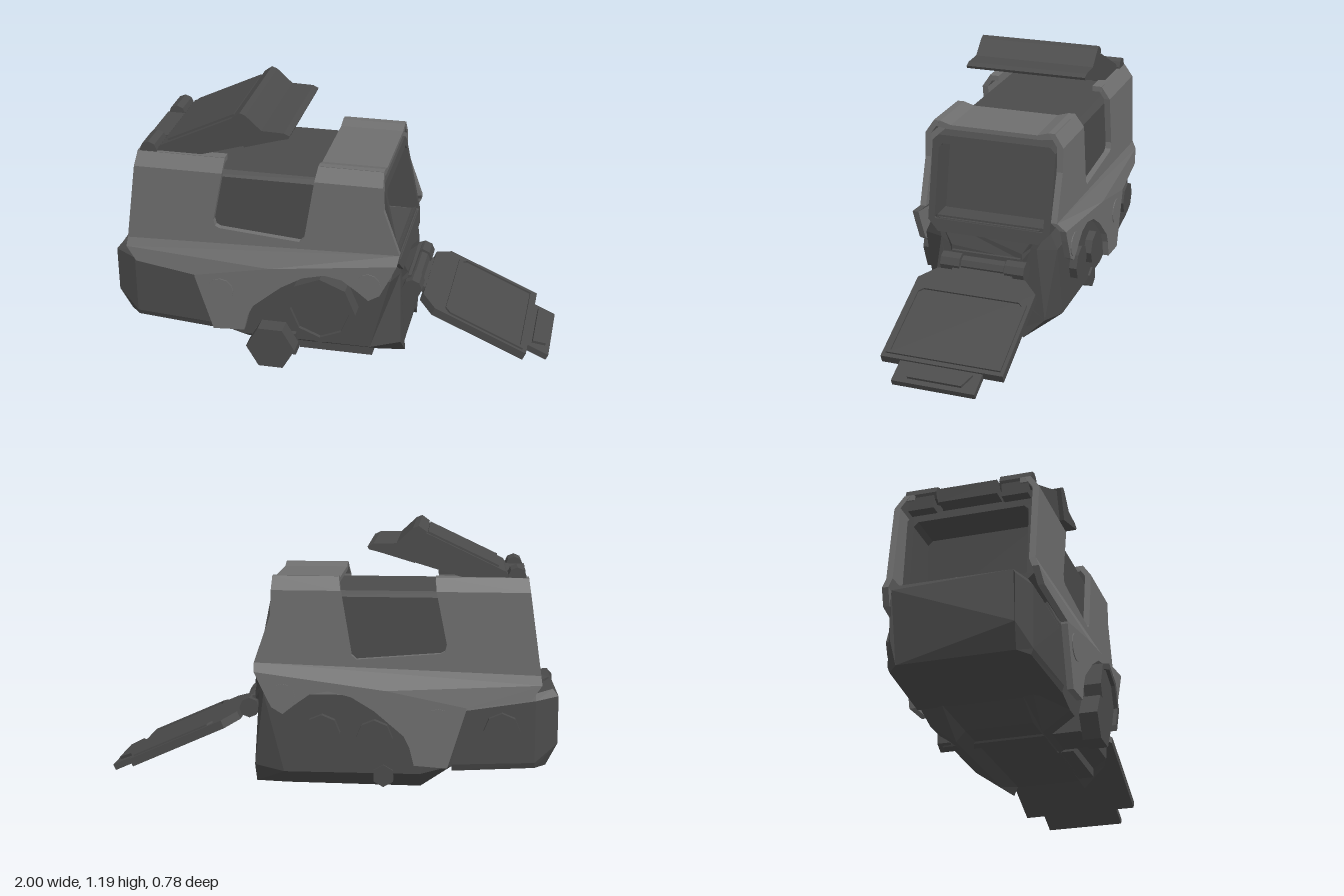
import * as THREE from 'three';

const mat = (name, color) => {
  const m = new THREE.MeshStandardMaterial({ color });
  m.name = name;
  return m;
};

export function createModel() {
  const body = mat('dark grey', 0x4b4b4b);
  const hoodMat = mat('mid grey', 0x6e6e6e);
  const root = new THREE.Group();
  root.name = 'opticSight';
  const model = new THREE.Group();
  model.name = 'sightAssembly';
  model.position.z = -0.025; // symmetry plane of the housing
  root.add(model);

  const flat = (g) => {
    const f = g.index ? g.toNonIndexed() : g;
    f.computeVertexNormals();
    return f;
  };
  const add = (name, geo, material = body, parent = model) => {
    const m = new THREE.Mesh(flat(geo), material);
    m.name = name;
    parent.add(m);
    return m;
  };
  const fromTris = (pos) => {
    const g = new THREE.BufferGeometry();
    g.setAttribute('position', new THREE.Float32BufferAttribute(pos.flat(), 3));
    return g;
  };
  const v2 = (pts) => pts.map(([x, y]) => new THREE.Vector2(x, y));
  const shape = (pts, hole) => {
    const s = new THREE.Shape(v2(pts));
    if (hole) s.holes.push(new THREE.Path(v2(hole)));
    return s;
  };
  const extrude = (s, depth) => new THREE.ExtrudeGeometry(s, { depth, bevelEnabled: false });
  const box = (x0, x1, y0, y1, z0, z1) =>
    new THREE.BoxGeometry(x1 - x0, y1 - y0, z1 - z0).translate((x0 + x1) / 2, (y0 + y1) / 2, (z0 + z1) / 2);
  // Cylinder along z
  const rod = (x, y, z0, z1, r, n = 8, start = 0) =>
    new THREE.CylinderGeometry(r, r, z1 - z0, n, 1, false, start).rotateX(Math.PI / 2).translate(x, y, (z0 + z1) / 2);
  const side = (s, z0, z1) => (s > 0 ? [z0, z1] : [-z1, -z0]);

  // Sheet metal from an outline of [x, y, distance from centre], on side s
  function panel(pts, s, t = 0.028) {
    if (THREE.ShapeUtils.isClockWise(v2(pts))) pts = [...pts].reverse();
    const out = [];
    const f = pts.map(([x, y, h]) => [x, y, s * h]);
    const b = pts.map(([x, y, h]) => [x, y, s * (h - t)]);
    const tri = (p, q, r) => out.push(...(s > 0 ? [p, q, r] : [p, r, q]));
    for (let [i, j, k] of THREE.ShapeUtils.triangulateShape(v2(pts), [])) {
      const [p, q, r] = [pts[i], pts[j], pts[k]];
      if ((q[0] - p[0]) * (r[1] - p[1]) - (q[1] - p[1]) * (r[0] - p[0]) < 0) [j, k] = [k, j];
      tri(f[i], f[j], f[k]);
      tri(b[i], b[k], b[j]);
    }
    f.forEach((p, i) => {
      const n = (i + 1) % f.length;
      tri(p, b[i], b[n]);
      tri(p, b[n], f[n]);
    });
    return fromTris(out);
  }

  // Loft of mirrored half sections, each a list of [x, y, z] from bottom to top
  function loft(halves) {
    const secs = halves.map((h) => [...h, ...[...h].reverse().map(([x, y, z]) => [x, y, -z])]);
    const out = [];
    const n = secs[0].length;
    for (let i = 0; i < secs.length - 1; i++)
      for (let j = 0; j < n; j++) {
        const k = (j + 1) % n, A = secs[i], B = secs[i + 1];
        out.push(A[j], B[j], B[k], A[j], B[k], A[k]);
      }
    [[secs[0], -1], [secs[secs.length - 1], 1]].forEach(([S, dir]) => {
      const flatPts = S.map(([, y, z]) => [y, z]); // y cross z points to +x
      for (const [a, b, c] of THREE.ShapeUtils.triangulateShape(v2(flatPts), [])) {
        const [p, q, r] = [S[a], S[b], S[c]];
        const area = (q[1] - p[1]) * (r[2] - p[2]) - (q[2] - p[2]) * (r[1] - p[1]);
        out.push(...(area * dir > 0 ? [p, q, r] : [p, r, q]));
      }
    });
    return fromTris(out);
  }

  // Lower body with a mounting channel underneath
  add('lowerBody', loft([
    [[-0.56, 0.13, 0.15], [-0.56, 0.125, 0.2], [-0.54, 0.14, 0.31], [-0.6, 0.43, 0.31], [-0.6, 0.52, 0.27]],
    [[-0.4, 0.06, 0.15], [-0.4, 0.015, 0.19], [-0.4, 0.1, 0.31], [-0.4, 0.45, 0.31], [-0.4, 0.52, 0.27]],
    [[0.2, 0.06, 0.15], [0.2, 0.02, 0.19], [0.2, 0.1, 0.31], [0.29, 0.45, 0.31], [0.29, 0.54, 0.27]],
    [[0.335, 0.06, 0.15], [0.34, 0.02, 0.17], [0.335, 0.12, 0.27], [0.32, 0.45, 0.225], [0.312, 0.55, 0.25]],
  ]));
  // Sloping sill below the front window
  add('frontSill', loft([
    [[0.3, 0.38, 0.19], [0.3, 0.47, 0.22], [0.3, 0.545, 0.255]],
    [[0.345, 0.4, 0.165], [0.345, 0.43, 0.165], [0.318, 0.54, 0.235]],
  ]));
  // Battery block
  add('batteryBlock', loft([
    [[-0.95, 0.14, 0.25], [-1, 0.24, 0.26], [-1, 0.45, 0.26], [-0.975, 0.48, 0.245]],
    [[-0.9, 0.135, 0.295], [-0.9, 0.16, 0.305], [-0.9, 0.435, 0.305], [-0.9, 0.465, 0.285]],
    [[-0.54, 0.12, 0.315], [-0.54, 0.15, 0.325], [-0.59, 0.39, 0.325], [-0.6, 0.44, 0.3]],
  ]));
  add('batteryCap', new THREE.CylinderGeometry(0.065, 0.065, 0.05, 8).translate(-0.905, 0.46, 0));

  // Inner viewing tunnel, its front end raked
  const ring = (w, y0, y1, b, c) => [
    [-w + b, y0], [w - b, y0], [w, y0 + b], [w, y1 - c], [w - c, y1], [-w + c, y1], [-w, y1 - c], [-w, y0 + b]];
  const tunnel = extrude(shape(ring(0.285, 0.48, 0.905, 0.05, 0.025), ring(0.255, 0.535, 0.868, 0.005, 0.02)), 1)
    .rotateY(Math.PI / 2);
  const tp = tunnel.attributes.position;
  for (let i = 0; i < tp.count; i++) {
    const y = tp.getY(i);
    tp.setX(i, tp.getX(i) > 0.5 ? 0.25 + (0.905 - y) * 0.2 : -0.8 - (0.905 - y) * 0.08);
  }
  add('viewingTunnel', tunnel);
  add('frontLens', box(-0.01, 0.01, -0.185, 0.185, -0.26, 0.26).rotateZ(0.2).translate(0.14, 0.7, 0));
  add('rearLens', box(-0.01, 0.01, -0.18, 0.18, -0.26, 0.26).translate(-0.62, 0.7, 0));

  // Protective hood, bent from sheet, both sides
  const rearBevel = [[-0.86, 0.97, 0.28], [-0.46, 0.97, 0.28], [-0.465, 0.91, 0.32], [-0.868, 0.91, 0.32]];
  const frontBevel = [[-0.04, 0.97, 0.28], [0.25, 0.97, 0.28], [0.253, 0.91, 0.32], [-0.05, 0.91, 0.32]];
  const upper = [[-0.868, 0.91], [-0.465, 0.91], [-0.512, 0.68], [-0.505, 0.65], [-0.485, 0.64], [-0.12, 0.61],
    [-0.098, 0.63], [-0.05, 0.91], [0.253, 0.91], [0.257, 0.8], [0.33, 0.59], [-0.92, 0.55]].map((p) => [...p, 0.32]);
  const fold = [[-0.92, 0.55, 0.32], [0.33, 0.59, 0.32], [0.325, 0.555, 0.36], [-0.25, 0.48, 0.36],
    [-0.6, 0.41, 0.36], [-0.88, 0.445, 0.345], [-0.925, 0.51, 0.335]];
  const skirt = [[0.325, 0.555], [0.3, 0.5], [0.25, 0.4], [0.2, 0.37], [0.15, 0.41], [0.08, 0.46], [0, 0.475],
    [-0.1, 0.45], [-0.2, 0.39], [-0.33, 0.28], [-0.355, 0.23], [-0.375, 0.15], [-0.52, 0.14], [-0.6, 0.4],
    [-0.6, 0.41], [-0.25, 0.48]].map((p) => [...p, 0.36]);
  for (const s of [1, -1]) {
    for (const [name, pts] of Object.entries({ rearBevel, frontBevel, upper, fold, skirt }))
      add('hood_' + name, panel(pts, s), hoodMat);
    add('hoodLip', box(-0.86, -0.46, 0.945, 0.97, ...side(s, 0.235, 0.281)), hoodMat);
    add('hoodScrew', rod(-0.48, 0.345, ...side(s, 0.35, 0.364), 0.06, 12), hoodMat);
    add('hoodScrew', rod(0.2, 0.45, ...side(s, 0.35, 0.364), 0.055, 12), hoodMat);
  }
  // Bridge over the front of the hood
  add('hoodBridge', extrude(shape([[-0.281, 0.945], [-0.22, 0.935], [0.22, 0.935], [0.281, 0.945], [0.281, 0.97],
    [0.25, 0.97], [0.2, 0.955], [-0.2, 0.955], [-0.25, 0.97], [-0.281, 0.97]]), 0.29)
    .rotateY(Math.PI / 2).translate(-0.04, 0, 0), hoodMat);

  // Adjustment knob with a raised octagonal rim
  const octagon = (r) => Array.from({ length: 8 }, (_, i) => [r * Math.cos(i * Math.PI / 4), r * Math.sin(i * Math.PI / 4)]);
  add('knobBase', rod(-0.015, 0.305, 0.28, 0.37, 0.15));
  add('knobRim', extrude(shape(octagon(0.163), octagon(0.135)), 0.08).translate(-0.015, 0.305, 0.308));
  // Clamp bolt, hexagonal nut and clamping rail
  add('clampNut', rod(-0.24, 0.1, 0.335, 0.415, 0.113, 6, Math.PI / 2));
  add('clampBolt', rod(-0.24, 0.08, -0.3, 0.34, 0.04));
  add('clampBlock', box(-0.33, -0.14, 0.03, 0.14, 0.2, 0.335));
  add('clampRail', box(-0.14, 0.2, 0.02, 0.1, 0.18, 0.25));
  add('boltEnd', rod(-0.24, 0.09, -0.32, -0.26, 0.05, 6));
  for (const [x, y] of [[0.03, 0.285], [-0.2, 0.265], [-0.755, 0.305]])
    add('sideButton', rod(x, y, -0.345, -0.3, 0.08));

  // Front flap, hinged open
  const flap = new THREE.Group();
  flap.name = 'frontFlap';
  flap.position.set(0.37, 0.36, -0.003);
  flap.rotation.z = -0.417;
  model.add(flap);
  const slab = (s, y0, y1) => extrude(s, y1 - y0).rotateX(-Math.PI / 2).translate(0, y0, 0);
  const outline = (x0, x1, w, k) => [[x0, -w + k], [x0 + k, -w], [x1, -w], [x1, w], [x0 + k, w], [x0, w - k]];
  add('flapPlate', slab(shape(outline(0.055, 0.58, 0.274, 0.07)), -0.03, 0.008), body, flap);
  add('flapFrame', slab(shape(outline(0.17, 0.56, 0.258, 0.025), outline(0.19, 0.545, 0.24, 0.02)), 0.008, 0.016), body, flap);
  add('flapTab', slab(shape([[0.57, -0.185], [0.688, -0.185], [0.688, 0.185], [0.57, 0.185]]), -0.028, 0), body, flap);
  add('flapTabGrip', slab(shape([[0.6, -0.15], [0.665, -0.12], [0.665, 0.12], [0.6, 0.15]]), 0, 0.012), body, flap);
  add('flapArm', box(0, 0.08, -0.025, 0.005, -0.14, 0.14), body, flap);
  add('hingeMount', box(0.29, 0.36, 0.33, 0.41, -0.16, 0.16));
  for (const z of [-0.15, 0, 0.15])
    add('frontHinge', rod(0.37, 0.36, z - (z ? 0.045 : 0.1), z + (z ? 0.045 : 0.1), z ? 0.045 : 0.036));

  // Rear lid, hinged open
  add('rearLid', extrude(shape([[-0.78, 0.97], [-0.57, 0.97], [-0.22, 1.075], [-0.3, 1.115], [-0.38, 1.175],
    [-0.76, 0.995]]), 0.53).translate(0, 0, -0.265));
  add('rearLidEdge', extrude(shape([[-0.42, 1.165], [-0.385, 1.19], [-0.36, 1.18], [-0.29, 1.115], [-0.19, 1.112],
    [-0.165, 1.1], [-0.17, 1.088], [-0.22, 1.075], [-0.37, 1.03]]), 0.57).translate(0, 0, -0.285));
  add('rearLidPanel', box(-0.17, 0.17, 0, 0.009, -0.24, 0.24).rotateZ(0.442).translate(-0.575, 1.083, 0));
  add('rearHingeBar', box(-0.85, -0.76, 0.92, 0.985, -0.13, 0.13));
  for (const s of [1, -1]) {
    add('rearHinge', rod(-0.81, 0.975, ...side(s, 0.14, 0.28), 0.04));
    add('rearHingeFoot', box(-0.85, -0.74, 0.9, 0.96, ...side(s, 0.15, 0.265)));
  }
  return root;
}
